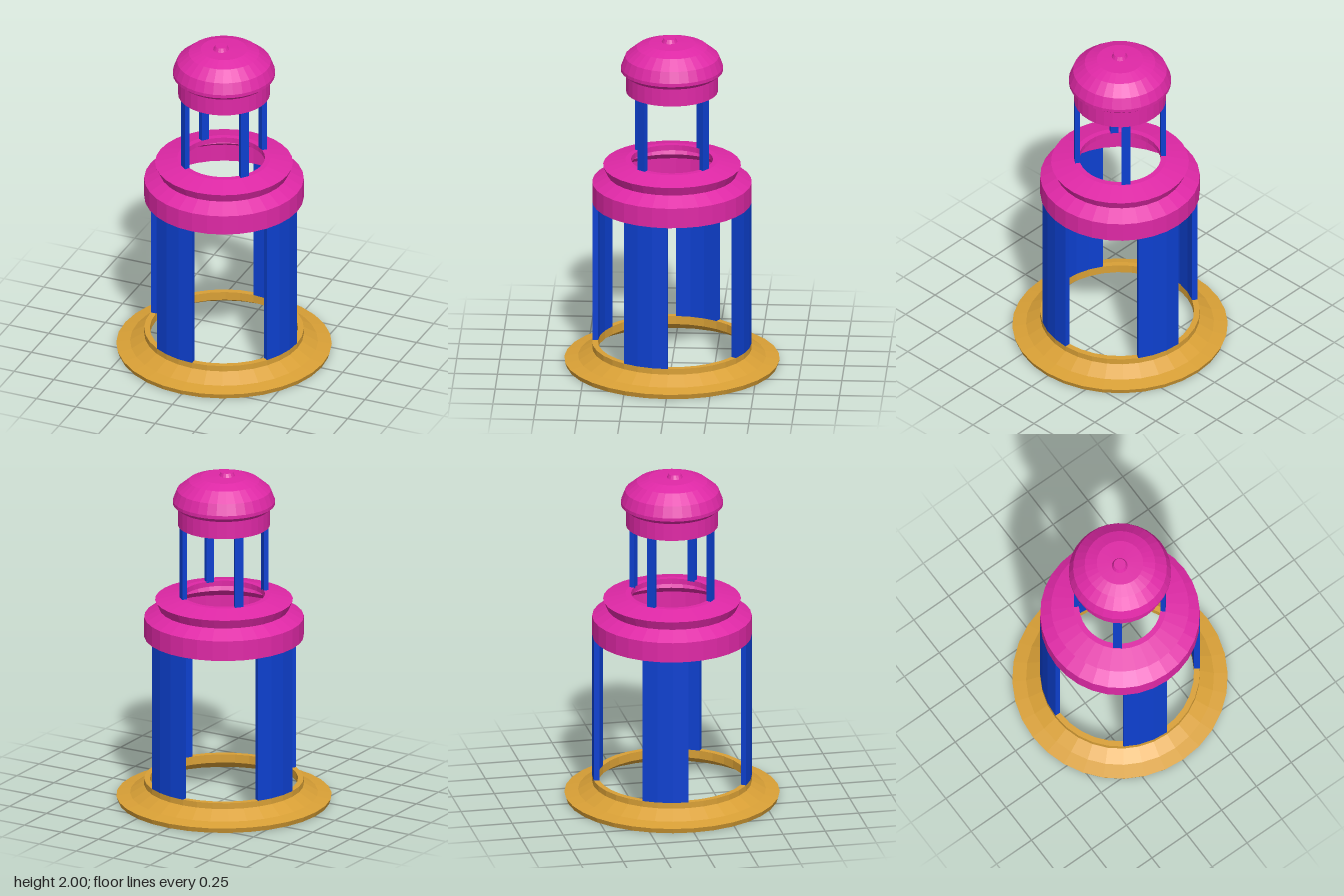
import * as THREE from 'three';

const SEG = 32;
const STEP = (Math.PI * 2) / SEG;

const paint = (color) => new THREE.MeshStandardMaterial({ color, flatShading: true });

// Faceted shell of revolution: profile runs up the outside, then down the inside
function shell(name, profile, material) {
  const points = profile.map(([r, y]) => new THREE.Vector2(r, y));
  const mesh = new THREE.Mesh(new THREE.LatheGeometry(points, SEG), material);
  mesh.name = name;
  return mesh;
}

// Upright slab following the ring facets from index `first` for `count` facets
function arcSlab(first, count, inner, outer, y0, y1) {
  const points = [];
  const add = (r, i) => points.push(new THREE.Vector2(r * Math.sin(i * STEP), -r * Math.cos(i * STEP)));
  for (let i = 0; i <= count; i++) add(outer, first + i);
  for (let i = count; i >= 0; i--) add(inner, first + i);
  const geometry = new THREE.ExtrudeGeometry(new THREE.Shape(points), { depth: y1 - y0, bevelEnabled: false });
  return geometry.rotateX(-Math.PI / 2).translate(0, y0, 0);
}

export function createModel() {
  const model = new THREE.Group();
  model.name = 'lanternTower';
  const gold = paint(0xd9a036);
  const blue = paint(0x0d40d0);
  const pink = paint(0xdf28a6);

  // Flared base ring, hollow underneath
  model.add(shell('baseRing', [
    [0.615, 0], [0.625, 0.03], [0.545, 0.045], [0.463, 0.095], [0.463, 0.13],
    [0.43, 0.13], [0.43, 0.08], [0.53, 0.02], [0.615, 0],
  ], gold));

  // Stepped crown ring above the walls
  model.add(shell('crownRing', [
    [0.463, 1.0], [0.463, 1.12], [0.375, 1.17], [0.4, 1.225], [0.27, 1.257],
    [0.238, 1.257], [0.238, 1.225], [0.36, 1.2], [0.345, 1.16], [0.43, 1.105],
    [0.43, 1.0], [0.463, 1.0],
  ], pink));

  // Hollow dome with its collar
  model.add(shell('dome', [
    [0.267, 1.68], [0.267, 1.785], [0.297, 1.81], [0.297, 1.83], [0.272, 1.895],
    [0.205, 1.95], [0.135, 1.974], [0, 1.98],
  ], pink));
  model.add(shell('domeLining', [
    [0, 1.95], [0.125, 1.946], [0.19, 1.922], [0.245, 1.875], [0.265, 1.825],
    [0.238, 1.79], [0.238, 1.68], [0.267, 1.68],
  ], pink));

  // Small knob, slightly off centre
  const knob = new THREE.Mesh(new THREE.CylinderGeometry(0.035, 0.05, 0.03, 16), pink);
  knob.name = 'knob';
  knob.position.set(-0.012, 1.985, 0.014);
  model.add(knob);

  // Four curved wall panels and four slim lantern posts
  const panel = arcSlab(-3, 3, 0.43, 0.463, 0.13, 1.0);
  const post = arcSlab(4, 1, 0.238, 0.267, 1.25, 1.68);
  for (let i = 0; i < 4; i++) {
    for (const [name, geometry] of [['wallPanel', panel], ['lanternPost', post]]) {
      const mesh = new THREE.Mesh(geometry, blue);
      mesh.name = name + (i + 1);
      mesh.rotation.y = (i * Math.PI) / 2;
      model.add(mesh);
    }
  }
  return model;
}
